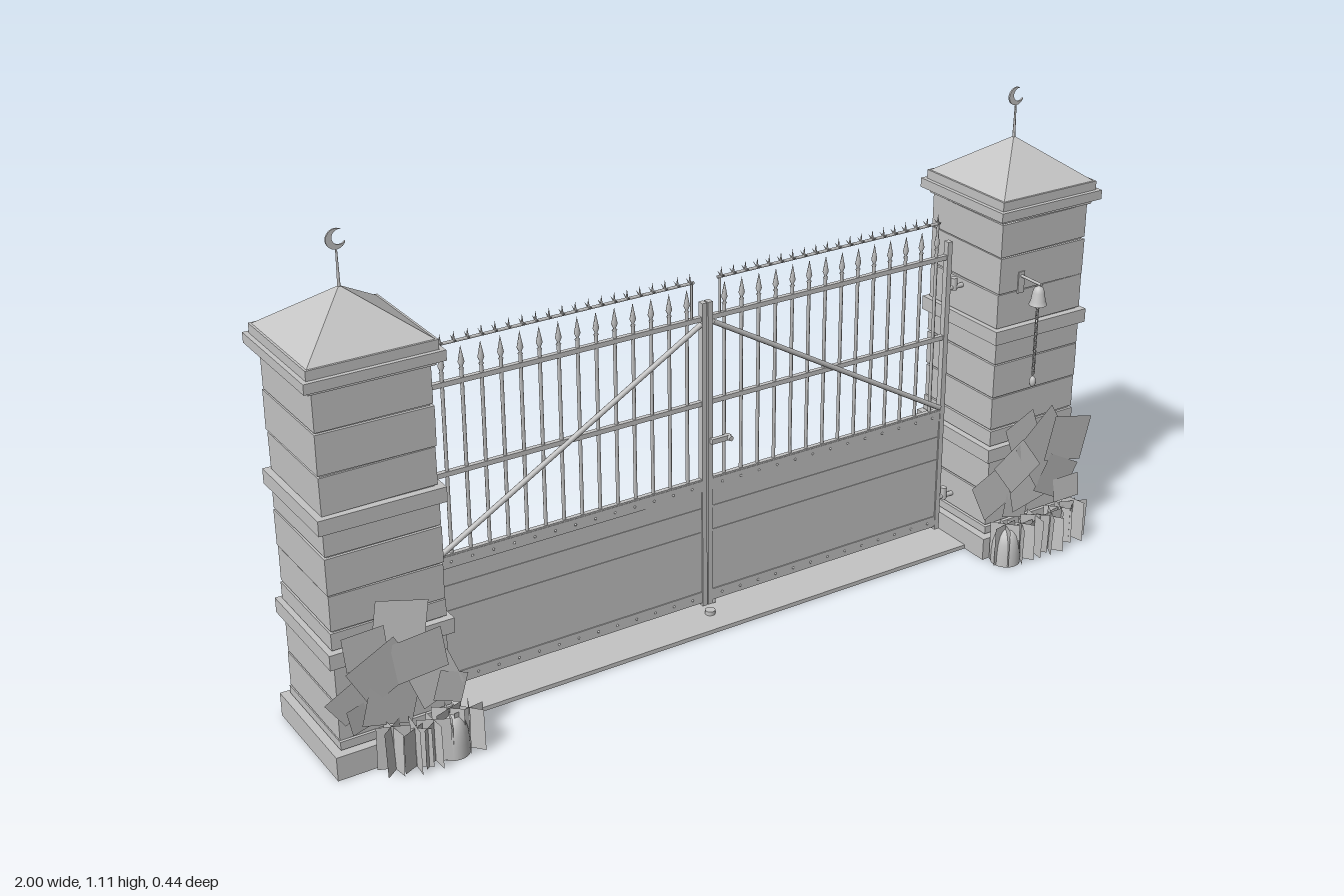
import * as THREE from 'three';

const grey = new THREE.MeshStandardMaterial({ color: 0xc4c4c4, side: THREE.DoubleSide });
grey.name = 'stone grey';

let seed = 7;
const rnd = (a = 0, b = 1) => {
  seed = (seed * 16807) % 2147483647;
  return a + (b - a) * (seed / 2147483647);
};

function add(parent, name, geo, x = 0, y = 0, z = 0) {
  const m = new THREE.Mesh(geo, grey);
  m.name = name;
  m.position.set(x, y, z);
  parent.add(m);
  return m;
}
const box = (p, name, w, h, d, x, y, z) => add(p, name, new THREE.BoxGeometry(w, h, d), x, y, z);
const rod = (p, name, r, h, x, y, z, n = 8) => add(p, name, new THREE.CylinderGeometry(r, r, h, n), x, y, z);
function group(parent, name, x = 0, y = 0, z = 0) {
  const g = new THREE.Group();
  g.name = name;
  g.position.set(x, y, z);
  parent.add(g);
  return g;
}
// round bar between two points
function bar(p, name, r, a, b) {
  const va = new THREE.Vector3(...a), vb = new THREE.Vector3(...b), d = vb.clone().sub(va);
  const m = rod(p, name, r, d.length(), 0, 0, 0);
  m.position.copy(va).add(vb).multiplyScalar(0.5);
  m.quaternion.setFromUnitVectors(new THREE.Vector3(0, 1, 0), d.normalize());
  return m;
}

function crescent() {
  const s = new THREE.Shape();
  s.absarc(0, 0, 0.021, 0.95, Math.PI * 2 - 0.6, false);
  s.absarc(0.0075, 0.002, 0.0155, Math.PI * 2 - 0.85, 1.15, true);
  return new THREE.ExtrudeGeometry(s, { depth: 0.004, bevelEnabled: false, curveSegments: 16 });
}

function pillar(parent, x) {
  const g = group(parent, 'pillar', x);
  box(g, 'pillarCore', 0.238, 0.85, 0.238, 0, 0.43, 0);
  box(g, 'pillarBase', 0.287, 0.055, 0.287, 0, 0.0275, 0);
  // stone courses: bottom, top, width
  const courses = [[0.058, 0.077, 0.254], [0.08, 0.16, 0.248], [0.164, 0.25, 0.246], [0.253, 0.287, 0.272],
    [0.29, 0.328, 0.25], [0.332, 0.41, 0.246], [0.414, 0.495, 0.249], [0.499, 0.548, 0.247],
    [0.552, 0.585, 0.272], [0.588, 0.67, 0.247], [0.674, 0.76, 0.249], [0.764, 0.843, 0.247], [0.846, 0.857, 0.262]];
  for (const [a, b, w] of courses) {
    const m = box(g, 'stoneCourse', w + rnd(-0.002, 0.003), b - a, w + rnd(-0.002, 0.003), 0, (a + b) / 2, 0);
    m.rotation.z = rnd(-0.008, 0.008);
    m.rotation.x = rnd(-0.008, 0.008);
  }
  // cap: two slabs, a bevel and a pyramid
  box(g, 'capSlab', 0.294, 0.022, 0.294, 0, 0.869, 0);
  box(g, 'capStep', 0.274, 0.022, 0.274, 0, 0.89, 0);
  const roof = add(g, 'capRoof', new THREE.ConeGeometry(0.267 / Math.SQRT2, 0.096, 4).toNonIndexed(), 0, 0.948, 0);
  roof.geometry.computeVertexNormals();
  roof.rotation.y = Math.PI / 4;
  add(g, 'finialPole', new THREE.CylinderGeometry(0.002, 0.0035, 0.08, 8), 0, 1.03, 0);
  add(g, 'finialCrescent', crescent(), 0, 1.09, -0.002).rotation.z = 0.15;
}

const guardProfile = [[0.035, 0], [0.0345, 0.03], [0.032, 0.055], [0.026, 0.076], [0.016, 0.087], [0, 0.091]]
  .map(p => new THREE.Vector2(...p));

// one gate leaf, running from the centre (0) to the hinge side (s * 0.665)
function leaf(parent, s) {
  const g = group(parent, 'gateLeaf', 0, 0, -0.006);
  const X = v => s * v, mid = X(0.336);
  box(g, 'hingePost', 0.013, 0.745, 0.015, X(0.663), 0.4, 0);
  box(g, 'meetingPost', 0.012, 0.745, 0.016, X(0.0075), 0.4, 0);
  for (const y of [0.735, 0.535, 0.345]) box(g, 'rail', 0.655, 0.011, 0.011, mid, y, 0);
  bar(g, 'brace', 0.006, [X(0.655), 0.355, 0.006], [X(0.015), 0.725, 0.006]);

  // solid lower panel with frame strips, ridges and rivets
  box(g, 'lowerPanel', 0.65, 0.3, 0.008, mid, 0.19, 0);
  for (const y of [0.05, 0.333]) box(g, 'panelStrip', 0.65, 0.028, 0.013, mid, y, 0);
  for (const y of [0.215, 0.275]) box(g, 'panelRidge', 0.64, 0.006, 0.011, mid, y, 0);
  for (let i = 0; i < 13; i++) for (const y of [0.05, 0.333]) for (const z of [-0.0065, 0.0065])
    add(g, 'rivet', new THREE.SphereGeometry(0.003, 6, 4), X(0.04 + i * 0.0495), y, z);

  // pickets with spear heads
  for (let i = 0; i < 14; i++) {
    const x = X(0.048 + i * 0.0447);
    rod(g, 'picket', 0.004, 0.415, x, 0.5525, 0, 6);
    const spear = add(g, 'spearHead', new THREE.LatheGeometry([[0.003, 0], [0.0065, 0.004], [0.003, 0.008], [0.0075, 0.018], [0, 0.055]]
      .map(p => new THREE.Vector2(...p)), 6), x, 0.755, 0);
    spear.scale.z = 0.7;
  }
  // spiked top bar on two uprights
  bar(g, 'spikeBar', 0.0035, [X(0.03), 0.822, 0], [X(0.635), 0.822, 0]);
  for (const v of [0.036, 0.63]) rod(g, 'spikeBarUpright', 0.003, 0.09, X(v), 0.78, 0, 6);
  for (let i = 0; i < 20; i++) {
    const x = X(0.04 + i * 0.031);
    add(g, 'spike', new THREE.ConeGeometry(0.003, 0.022, 5), x, 0.834, 0);
    for (const d of [-1, 1])
      add(g, 'sideSpike', new THREE.ConeGeometry(0.0025, 0.018, 5), x, 0.826, d * 0.008).rotation.x = d * 1.1;
  }
  // hinges set into the pillar
  for (const y of [0.655, 0.11]) {
    bar(g, 'hingePin', 0.006, [X(0.665), y, 0], [X(0.715), y, 0]);
    rod(g, 'hingeKnuckle', 0.008, 0.03, X(0.685), y + 0.008, 0);
  }
}

function bell(parent, x) {
  const g = group(parent, 'bell', x, 0, 0.187);
  box(g, 'bellPlate', 0.018, 0.052, 0.005, 0, 0.692, -0.062);
  bar(g, 'bellArm', 0.0035, [0, 0.708, -0.062], [0, 0.708, 0.008]);
  add(g, 'bellCup', new THREE.LatheGeometry([[0.021, 0.658], [0.017, 0.668], [0.014, 0.688], [0.010, 0.699], [0, 0.704]]
    .map(p => new THREE.Vector2(...p)), 20));
  for (let i = 0; i < 17; i++) {
    const link = add(g, 'chainLink', new THREE.TorusGeometry(0.0045, 0.0014, 5, 8), 0, 0.66 - i * 0.0107, 0);
    link.scale.y = 1.5;
    link.rotation.y = i % 2 ? Math.PI / 2 : 0.2;
  }
  add(g, 'chainPull', new THREE.SphereGeometry(0.008, 10, 8), 0, 0.466, 0).scale.y = 1.7;
}

// leaf cards leaning on the pillar front: x, y, size, turn
function ivy(parent, cards) {
  const g = group(parent, 'ivy');
  cards.forEach(([x, y, size, turn], i) => {
    const m = add(g, 'ivyCard', new THREE.PlaneGeometry(size, size * 0.9), x, y, 0.14 + (i % 4) * 0.006);
    m.rotation.set(rnd(-0.13, 0.13), rnd(-0.15, 0.15), turn);
  });
}

// tufts of upright crossed cards
function grass(parent, x0, x1) {
  const g = group(parent, 'grass');
  const n = Math.round((x1 - x0) / 0.042);
  for (let i = 0; i < n; i++) {
    const x = x0 + (x1 - x0) * (i + 0.5) / n, z = 0.18 + rnd(-0.012, 0.012), t = rnd(0, 1);
    for (let k = 0; k < 3; k++) {
      const h = rnd(0.088, 0.104);
      const m = add(g, 'grassCard', new THREE.PlaneGeometry(0.07, h), x, h / 2 + 0.003, z);
      m.rotation.set(rnd(-0.06, 0.06), t + k * Math.PI / 3, 0);
    }
  }
}

export function createModel() {
  const root = new THREE.Group();
  root.name = 'gateway';
  const g = group(root, 'gate', -0.01, 0, -0.012);

  for (const s of [-1, 1]) {
    pillar(g, s * 0.835);
    leaf(g, s);
    for (const z of [-0.183, 0.175])
      add(g, 'wheelGuard', new THREE.LatheGeometry(guardProfile, 24), s * 0.735, 0, z);
  }
  box(g, 'threshold', 1.4, 0.01, 0.165, 0, 0.005, -0.006);
  rod(g, 'gateStop', 0.012, 0.012, 0, 0.014, 0.012, 12);

  // latch on the front, drop bolt on the back
  box(g, 'latch', 0.05, 0.012, 0.01, 0.03, 0.443, 0.008);
  rod(g, 'latchKnob', 0.006, 0.022, 0.05, 0.443, 0.01).rotation.x = Math.PI / 2;
  rod(g, 'dropBolt', 0.005, 0.15, 0.03, 0.09, -0.02);
  for (const y of [0.06, 0.14]) box(g, 'boltGuide', 0.018, 0.012, 0.014, 0.03, y, -0.017);

  bell(g, 0.773);

  ivy(g, [[-0.82, 0.315, 0.11, -0.2], [-0.9, 0.285, 0.09, 0.1], [-0.87, 0.225, 0.12, 0.5], [-0.79, 0.24, 0.11, 0.15],
    [-0.935, 0.17, 0.085, 0.6], [-0.85, 0.15, 0.12, -0.3], [-0.755, 0.17, 0.1, 0.35], [-0.725, 0.145, 0.07, -0.4],
    [-0.91, 0.13, 0.07, 0.2]]);
  ivy(g, [[0.8, 0.3, 0.1, 0.3], [0.86, 0.26, 0.15, 0.55], [0.93, 0.265, 0.125, -0.25], [0.77, 0.235, 0.1, 0.6],
    [0.72, 0.175, 0.11, 0.4], [0.82, 0.18, 0.13, 0.15], [0.9, 0.17, 0.11, -0.5], [0.93, 0.135, 0.07, 0.1],
    [0.79, 0.125, 0.08, -0.3]]);
  grass(g, -0.885, -0.68);
  grass(g, 0.705, 0.965);
  return root;
}
